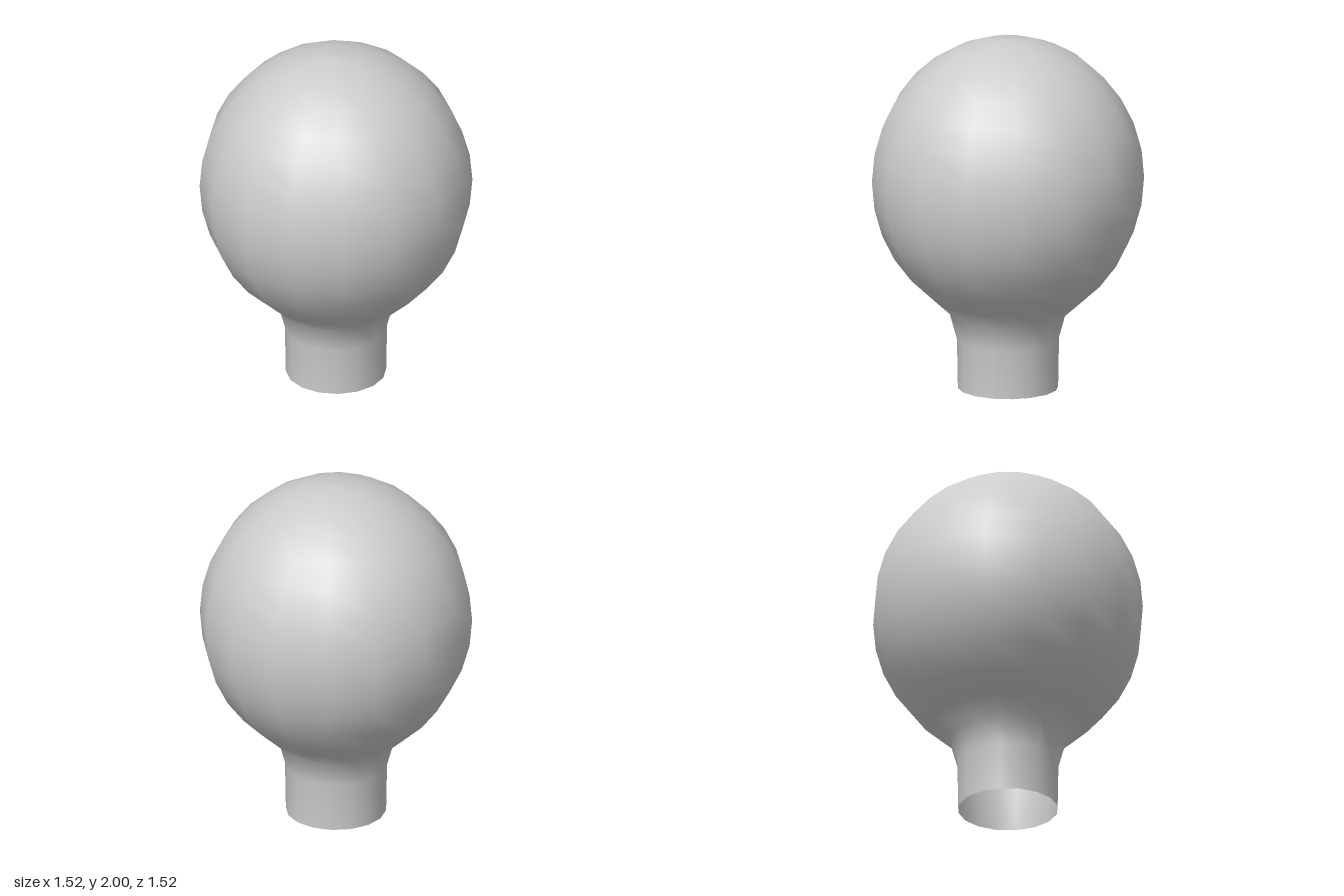
import * as THREE from 'three';

export function createModel() {
  const group = new THREE.Group();
  group.name = 'bulb';
  const material = new THREE.MeshStandardMaterial({ color: 0xcccccc, side: THREE.DoubleSide });

  // Open neck flaring outward
  const profile = [[0.28, 0], [0.285, 0.28], [0.325, 0.425], [0.42, 0.51]]
    .map(([r, y]) => new THREE.Vector2(r, y));

  // Slightly tall globe, from just above the flare to the crown
  const radius = 0.76, halfHeight = 0.81, centre = 1.19, rings = 16;
  for (let i = 4; i <= rings; i++) {
    const a = (i / rings) * Math.PI;
    const r = i === rings ? 0 : radius * Math.sin(a);
    profile.push(new THREE.Vector2(r, centre - halfHeight * Math.cos(a)));
  }

  // One thin, smooth-shaded shell with sixteen sides
  const shell = new THREE.Mesh(new THREE.LatheGeometry(profile, 16), material);
  shell.name = 'glassShell';
  group.add(shell);
  return group;
}
